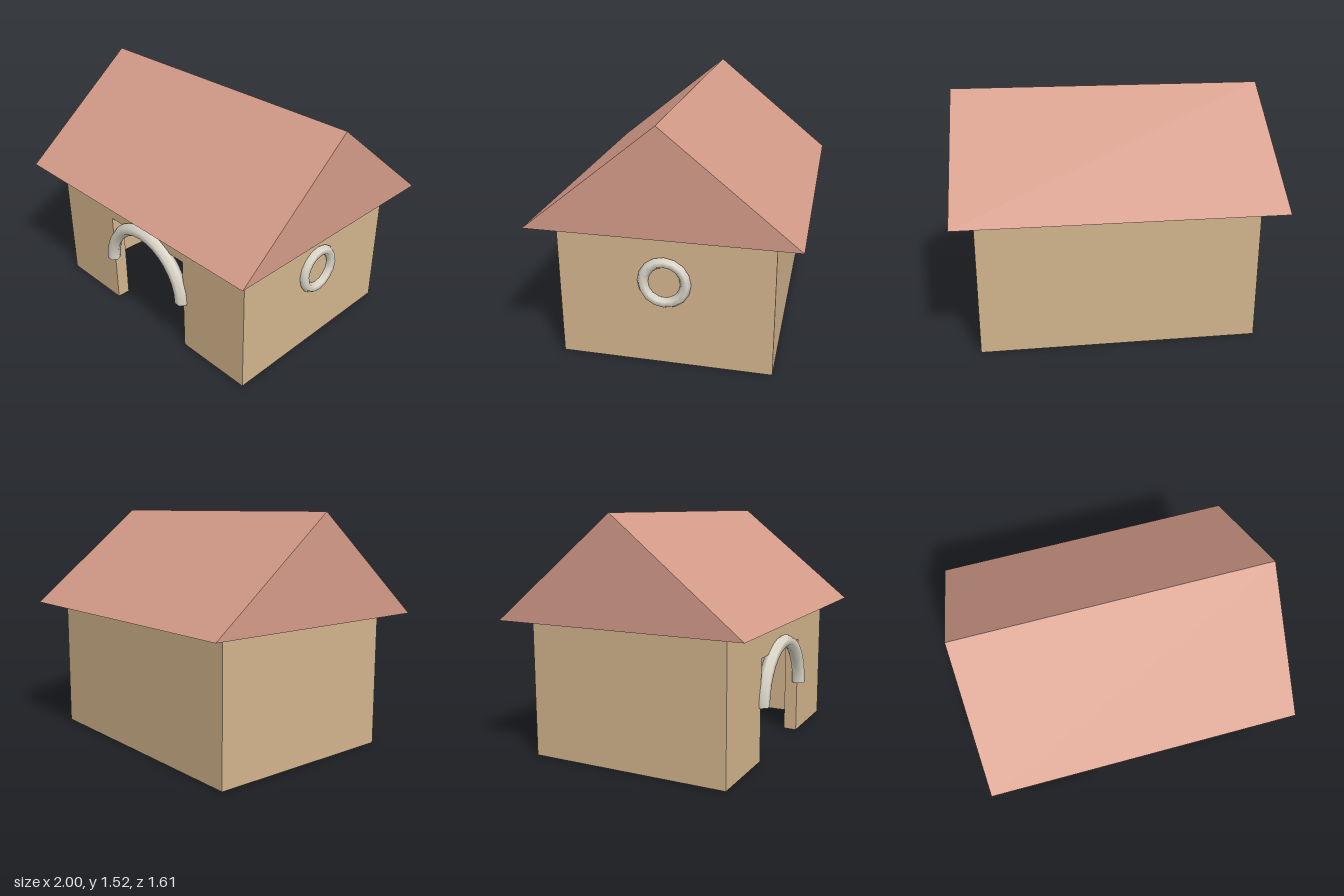
import * as THREE from 'three';

const mat = (name, color) => {
  const m = new THREE.MeshStandardMaterial({ color });
  m.name = name;
  return m;
};

// Extrude a closed outline of [x, y] points along +z
function extrude(points, depth) {
  const shape = new THREE.Shape(points.map(([x, y]) => new THREE.Vector2(x, y)));
  return new THREE.ExtrudeGeometry(shape, { depth, bevelEnabled: false });
}

export function createModel() {
  const group = new THREE.Group();
  const wall = mat('tan wall', 0xd2b48c);
  const roof = mat('terracotta roof', 0xd49b89);
  const trim = mat('pale stone trim', 0xded8ca);
  trim.side = THREE.DoubleSide; // the arch tube has open ends

  const add = (name, geometry, material, x = 0, y = 0, z = 0) => {
    const mesh = new THREE.Mesh(geometry, material);
    mesh.name = name;
    mesh.position.set(x, y, z);
    group.add(mesh);
    return mesh;
  };

  const X = 0.87, Z = 0.652, H = 0.873, T = 0.087; // house half width, half depth, height, wall thickness
  const doorX = 0.35, doorY = 0.652;

  // Front wall with the doorway cut out
  add('frontWall', extrude([
    [-X, 0], [-doorX, 0], [-doorX, doorY], [doorX, doorY],
    [doorX, 0], [X, 0], [X, H], [-X, H],
  ], T), wall, 0, 0, Z - T);

  // Back and side walls; the floor is open
  add('backWall', new THREE.BoxGeometry(2 * X, H, T), wall, 0, H / 2, -Z + T / 2);
  for (const [name, s] of [['leftWall', 1], ['rightWall', -1]]) {
    add(name, new THREE.BoxGeometry(T, H, 2 * (Z - T)), wall, s * (X - T / 2), H / 2, 0);
  }

  // Solid gable roof, ridge along x
  const gable = extrude([[-0.805, H], [0.805, H], [0, 1.525]], 2);
  gable.translate(0, 0, -1).rotateY(Math.PI / 2);
  add('roof', gable, roof);

  // Half-ring over the door and round window frame on the left side
  add('doorArch', new THREE.TorusGeometry(0.3465, 0.0435, 6, 16, Math.PI), trim, 0, 0.35, 0.664);
  add('windowFrame', new THREE.TorusGeometry(0.13, 0.033, 6, 16), trim, 0.877, 0.547, 0)
    .rotation.y = Math.PI / 2;

  return group;
}
